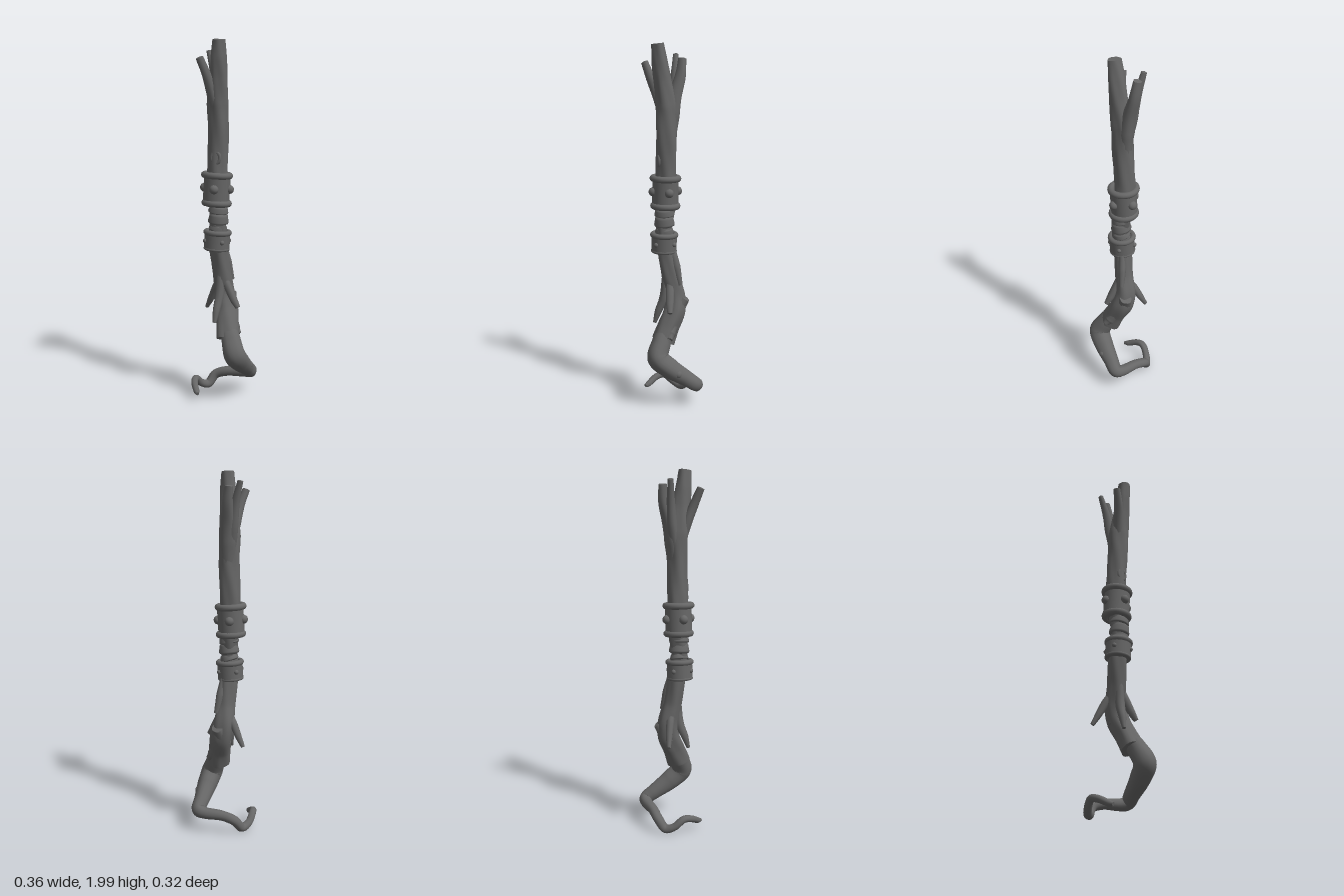
import * as THREE from 'three';

const material = new THREE.MeshStandardMaterial({ color: 0x666666, side: THREE.DoubleSide });

// Tapered limb swept through [x, y, z, radius] stations, with soft bark ridges and flat ends.
function limbGeometry(stations, sides = 18, steps = 40, bark = 0.06) {
  const curve = new THREE.CatmullRomCurve3(stations.map(s => new THREE.Vector3(s[0], s[1], s[2])));
  const frames = curve.computeFrenetFrames(steps);
  const last = stations.length - 1;
  const pos = [], index = [], centres = [];
  for (let i = 0; i <= steps; i++) {
    const u = i / steps;
    const t = curve.getUtoTmapping(u) * last;
    const k = Math.min(Math.floor(t), last - 1);
    const radius = THREE.MathUtils.lerp(stations[k][3], stations[k + 1][3], t - k);
    const c = curve.getPointAt(u);
    centres.push(c);
    for (let j = 0; j < sides; j++) {
      const a = j / sides * Math.PI * 2;
      const r = radius * (1 + bark * (Math.sin(3 * a + c.y * 9) + 0.6 * Math.sin(5 * a - c.y * 17)));
      const p = c.clone()
        .addScaledVector(frames.normals[i], r * Math.cos(a))
        .addScaledVector(frames.binormals[i], r * Math.sin(a));
      pos.push(p.x, p.y, p.z);
    }
  }
  for (let i = 0; i < steps; i++) {
    for (let j = 0; j < sides; j++) {
      const a = i * sides + j, b = i * sides + (j + 1) % sides;
      index.push(a, b, a + sides, b, b + sides, a + sides);
    }
  }
  // End caps get their own vertices so the rims stay crisp
  for (const end of [0, steps]) {
    const base = pos.length / 3;
    for (let j = 0; j < sides; j++) {
      const o = (end * sides + j) * 3;
      pos.push(pos[o], pos[o + 1], pos[o + 2]);
    }
    pos.push(...centres[end].toArray());
    for (let j = 0; j < sides; j++) {
      const a = base + j, b = base + (j + 1) % sides;
      if (end) index.push(a, b, base + sides);
      else index.push(b, a, base + sides);
    }
  }
  const g = new THREE.BufferGeometry();
  g.setAttribute('position', new THREE.Float32BufferAttribute(pos, 3));
  g.setIndex(index);
  g.computeVertexNormals();
  return g;
}

export function createModel() {
  const model = new THREE.Group();
  model.name = 'gnarledStaff';

  const add = (name, geometry, parent = model) => {
    const mesh = new THREE.Mesh(geometry, material);
    mesh.name = name;
    parent.add(mesh);
    return mesh;
  };
  const limb = (name, stations, ...options) => add(name, limbGeometry(stations, ...options));

  // Main trunk, from the top spire to the split sleeve above the root
  limb('trunk', [
    [-0.006, 1.995, 0.066, 0.034], [-0.01, 1.9, 0.054, 0.043], [-0.012, 1.8, 0.038, 0.047],
    [-0.018, 1.66, 0.018, 0.058], [-0.018, 1.52, 0.016, 0.056], [-0.023, 1.4, 0.012, 0.055],
    [-0.027, 1.28, 0.012, 0.056], [-0.02, 1.12, 0.015, 0.05], [-0.017, 1.0, 0.03, 0.045],
    [-0.018, 0.86, 0.014, 0.05], [-0.006, 0.72, -0.008, 0.05], [0.004, 0.61, -0.034, 0.056],
    [0.02, 0.53, -0.024, 0.061], [0.034, 0.44, 0.022, 0.06], [0.045, 0.365, 0.056, 0.064],
  ], 24, 120);

  // Crooked root: knee forward, heel back, then sweeping across to a curled toe
  limb('crookedRoot', [
    [0.035, 0.44, 0.03, 0.045], [0.065, 0.36, 0.072, 0.054], [0.092, 0.285, 0.098, 0.061],
    [0.112, 0.225, 0.038, 0.056], [0.13, 0.165, -0.05, 0.044], [0.14, 0.125, -0.108, 0.038],
    [0.105, 0.115, -0.122, 0.033], [0.0, 0.105, -0.128, 0.028], [-0.07, 0.08, -0.132, 0.027],
    [-0.108, 0.03, -0.105, 0.025], [-0.142, 0.045, -0.068, 0.021], [-0.16, 0.088, -0.015, 0.02],
    [-0.155, 0.08, 0.035, 0.019], [-0.13, 0.052, 0.09, 0.017], [-0.12, 0.045, 0.112, 0.01],
  ], 20, 140, 0.03);
  const heelKnot = add('heelKnot', new THREE.SphereGeometry(0.024, 16, 12));
  heelKnot.position.set(0.152, 0.2, 0.0);

  // Broken branches at the crown, swelling where they leave the trunk
  limb('frontBranch', [
    [-0.025, 1.6, 0.025, 0.03], [-0.048, 1.72, 0.056, 0.028],
    [-0.068, 1.81, 0.086, 0.025], [-0.1, 1.9, 0.112, 0.02],
  ], 12, 24);
  limb('sideBranch', [
    [-0.025, 1.55, 0.0, 0.03], [-0.042, 1.7, -0.03, 0.029],
    [-0.06, 1.83, -0.046, 0.022], [-0.088, 1.945, -0.062, 0.015],
  ], 12, 24);
  limb('backBranch', [
    [-0.017, 1.45, 0.01, 0.038], [-0.016, 1.62, -0.014, 0.043], [-0.016, 1.72, -0.036, 0.036],
    [-0.02, 1.83, -0.068, 0.029], [-0.03, 1.92, -0.08, 0.022],
  ], 14, 30);

  // Hanging twigs and peeled bark around the lower trunk
  limb('rightTwig', [
    [-0.01, 0.69, -0.015, 0.022], [-0.05, 0.625, -0.045, 0.022], [-0.08, 0.56, -0.066, 0.019], [-0.11, 0.5, -0.084, 0.011],
  ], 10, 20);
  limb('frontTwig', [
    [-0.01, 0.72, 0.02, 0.022], [-0.012, 0.6, 0.03, 0.026], [-0.022, 0.52, 0.062, 0.02], [-0.028, 0.455, 0.082, 0.01],
  ], 10, 20);
  limb('leftTwig', [
    [0.005, 0.7, 0.0, 0.024], [0.042, 0.63, 0.012, 0.023], [0.07, 0.575, 0.022, 0.021], [0.095, 0.535, 0.03, 0.014],
  ], 10, 20);
  limb('peeledBark', [
    [0.01, 0.87, -0.012, 0.018], [0.026, 0.78, -0.03, 0.022], [0.045, 0.68, -0.047, 0.014],
  ], 10, 20);
  limb('backStump', [
    [0.01, 0.51, -0.01, 0.05], [0.022, 0.565, -0.045, 0.047], [0.035, 0.605, -0.075, 0.033],
  ], 14, 16);
  limb('sleeveSplinter', [
    [0.05, 0.46, 0.0, 0.035], [0.075, 0.41, 0.025, 0.033], [0.1, 0.385, 0.035, 0.018],
  ], 10, 16);

  // Knothole: raised rim round a sunken plug
  const knot = new THREE.Group();
  knot.name = 'knothole';
  knot.position.set(-0.024, 1.37, 0.06);
  knot.scale.set(1, 1.35, 1);
  model.add(knot);
  add('knotRim', new THREE.TorusGeometry(0.022, 0.009, 10, 24), knot);
  add('knotPlug', new THREE.SphereGeometry(0.02, 16, 10), knot).scale.z = 0.1;

  // Collar: centre, tilt, rings [y, radius, tube, x shift] and a band
  const collar = (name, x, y, z, tilt, bandRadius, bandHeight, rings) => {
    const group = new THREE.Group();
    group.name = name;
    group.position.set(x, y, z);
    group.rotation.z = tilt;
    model.add(group);
    add('band', new THREE.CylinderGeometry(bandRadius, bandRadius, bandHeight, 32), group);
    for (const [ringY, radius, tube, shift] of rings) {
      const ring = add('ring', new THREE.TorusGeometry(radius, tube, 12, 36), group);
      ring.rotation.x = Math.PI / 2;
      ring.position.set(shift, ringY, 0);
    }
    return group;
  };
  const studs = (group, angles, radius, size, y) => angles.forEach(deg => {
    const a = THREE.MathUtils.degToRad(deg);
    const stud = add('stud', new THREE.SphereGeometry(size, 16, 12), group);
    stud.position.set(Math.sin(a) * radius, y, Math.cos(a) * radius);
  });

  const upper = collar('upperCollar', -0.028, 1.195, 0.018, -0.06, 0.073, 0.17,
    [[0.078, 0.07, 0.018, -0.003], [-0.075, 0.066, 0.018, 0.004]]);
  studs(upper, [0, 90, 180, 265], 0.071, 0.025, 0.005);

  const lower = collar('lowerCollar', -0.024, 0.913, 0.027, -0.06, 0.071, 0.1,
    [[0.045, 0.064, 0.015, 0], [-0.046, 0.064, 0.009, 0]]);
  studs(lower, [35, 125, 215, 305], 0.07, 0.013, -0.002);

  // Overlapping slanted wraps round the grip between the collars
  const wraps = [[1.085, 0.054, 0.045, -0.15], [1.035, 0.055, 0.06, -0.1], [0.985, 0.05, 0.04, -0.28]];
  for (const [y, radius, height, tilt] of wraps) {
    const wrap = add('gripWrap', new THREE.LatheGeometry([
      [radius - 0.012, -height / 2], [radius, -height / 2 + 0.006], [radius + 0.002, -height / 4],
      [radius - 0.004, height / 4], [radius - 0.006, height / 2 - 0.006], [radius - 0.014, height / 2],
    ].map(p => new THREE.Vector2(...p)), 32));
    wrap.position.set(-0.016, y, 0.028);
    wrap.rotation.set(0.08, 0, tilt);
  }

  return model;
}
